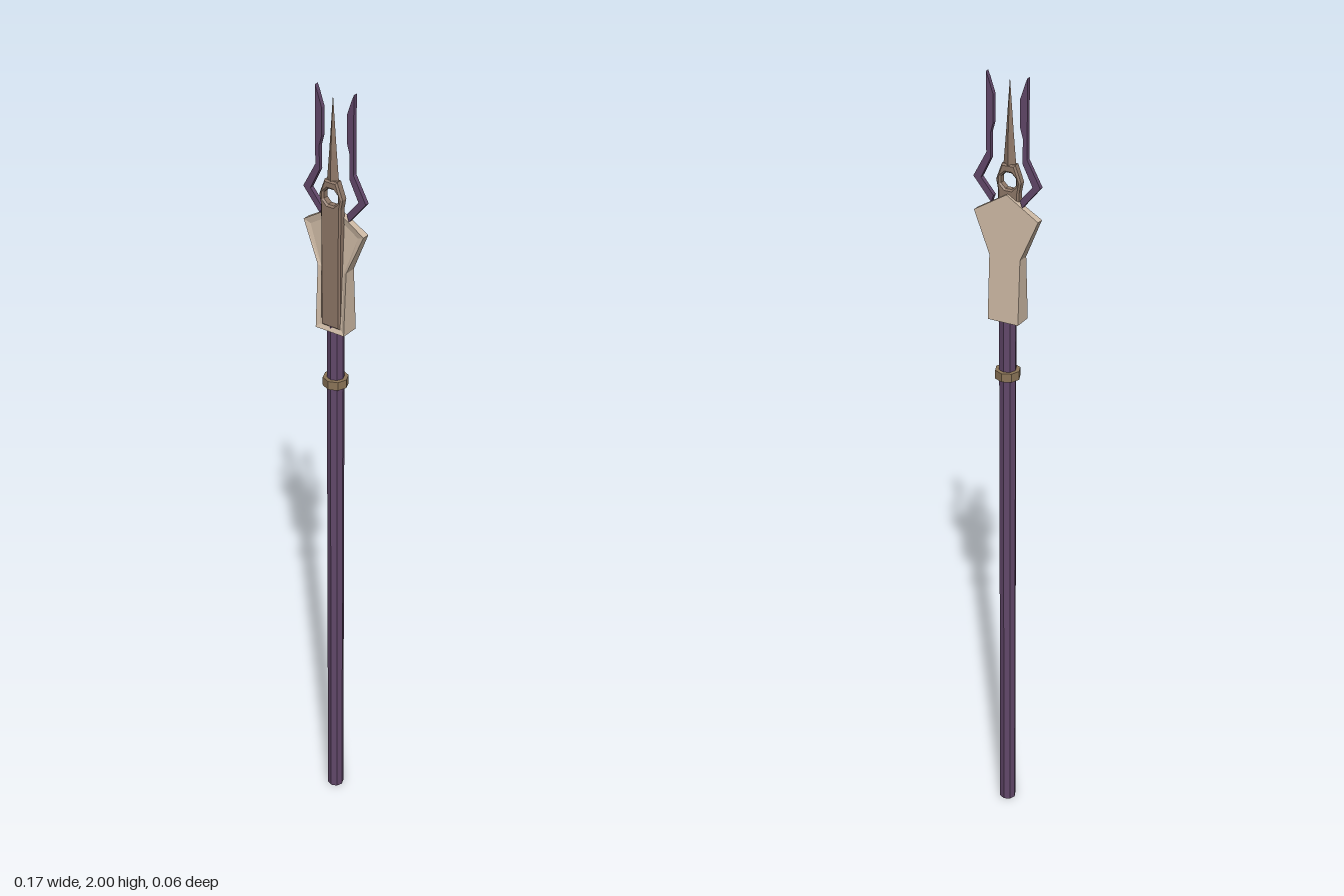
import * as THREE from 'three';

const material = (name, color) => {
  const m = new THREE.MeshStandardMaterial({ color });
  m.name = name;
  return m;
};

// Facet a geometry and wrap it in a named mesh
function part(name, geometry, mat) {
  const g = geometry.index ? geometry.toNonIndexed() : geometry;
  g.computeVertexNormals();
  const mesh = new THREE.Mesh(g, mat);
  mesh.name = name;
  return mesh;
}

const shapeOf = (pts) => new THREE.Shape(pts.map(([x, y]) => new THREE.Vector2(x, y)));

// Closed outline from the right half, listed from the bottom to the top centre
const mirrored = (half) => [
  ...half,
  ...half.filter(([x]) => x > 0).reverse().map(([x, y]) => [-x, y]),
];

// Join rings of equal length with walls, and close both ends
function loft(rings, caps) {
  const n = rings[0].length;
  const index = [];
  for (let r = 0; r < rings.length - 1; r++) {
    for (let i = 0; i < n; i++) {
      const j = (i + 1) % n;
      const a = r * n;
      const b = a + n;
      index.push(a + i, a + j, b + j, a + i, b + j, b + i);
    }
  }
  const last = (rings.length - 1) * n;
  for (const [a, b, c] of caps) index.push(c, b, a, last + a, last + b, last + c);
  const g = new THREE.BufferGeometry();
  g.setAttribute('position', new THREE.Float32BufferAttribute(rings.flat(2), 3));
  g.setIndex(index);
  return g;
}

// Flared socket, thinner towards the top, with a recessed front
function socketGeometry() {
  const outer = mirrored([[0.04, 1.41], [0.04, 1.57], [0.083, 1.67], [0, 1.72]]);
  const inner = mirrored([[0.031, 1.42], [0.031, 1.565], [0.066, 1.662], [0, 1.702]]);
  const depth = (y) => 0.024 - (y - 1.41) * 0.056;
  const rings = [
    outer.map(([x, y]) => [x, y, -depth(y)]),
    outer.map(([x, y]) => [x, y, depth(y)]),
    inner.map(([x, y]) => [x, y, depth(y) - 0.004]),
  ];
  const caps = THREE.ShapeUtils.triangulateShape(
    outer.map(([x, y]) => new THREE.Vector2(x, y)), []);
  return loft(rings, caps);
}

// Long plate ending in a pierced eye
function bladeGeometry() {
  const shape = shapeOf(mirrored([
    [0.027, 1.42], [0.027, 1.725], [0.032, 1.75], [0.017, 1.79],
  ]));
  const hole = new THREE.Path();
  for (let i = 0; i < 8; i++) {
    const a = ((i + 0.5) / 8) * Math.PI * 2;
    const x = Math.cos(a) * 0.021;
    const y = 1.75 + Math.sin(a) * 0.021;
    if (i) hole.lineTo(x, y);
    else hole.moveTo(x, y);
  }
  hole.closePath();
  shape.holes.push(hole);
  return new THREE.ExtrudeGeometry(shape, {
    depth: 0.014, bevelEnabled: true, bevelSegments: 1,
    bevelThickness: 0.004, bevelSize: 0.004, bevelOffset: -0.004,
  }).translate(0, 0, 0.004);
}

// Four-sided spike narrowing to a point
function spikeGeometry() {
  const rings = [[1.78, 0.017, 0.01], [1.86, 0.01, 0.008], [1.985, 0.0005, 0.0005]]
    .map(([y, w, d]) => [[w, y, 0.01], [0, y, 0.01 - d], [-w, y, 0.01], [0, y, 0.01 + d]]);
  return loft(rings, [[0, 1, 2], [0, 2, 3]]);
}

// Flat bent prong with a stepped inner edge
function prongGeometry(side) {
  const pts = [
    [0.04, 1.695], [0.086, 1.75], [0.052, 1.812], [0.052, 2], [0.046, 1.985],
    [0.034, 1.95], [0.034, 1.885], [0.041, 1.86], [0.041, 1.8], [0.066, 1.75], [0.034, 1.712],
  ];
  return new THREE.ExtrudeGeometry(shapeOf(pts.map(([x, y]) => [x * side, y])), {
    depth: 0.011, bevelEnabled: false,
  }).translate(0, 0, -0.0055);
}

export function createModel() {
  const purple = material('dark purple', 0x62486a);
  const cream = material('pale stone', 0xcdb9a4);
  const brown = material('taupe metal', 0x8f7868);
  const bronze = material('bronze', 0x8c7558);

  const model = new THREE.Group();
  model.name = 'spear';

  model.add(
    part('shaft', new THREE.CylinderGeometry(0.021, 0.021, 1.43, 8).translate(0, 0.715, 0), purple),
    part('collar', new THREE.CylinderGeometry(0.031, 0.031, 0.022, 8).translate(0, 1.268, 0), bronze),
    part('socket', socketGeometry(), cream),
    part('blade', bladeGeometry(), brown),
    part('spike', spikeGeometry(), brown),
    part('leftProng', prongGeometry(1), purple),
    part('rightProng', prongGeometry(-1), purple),
  );
  return model;
}
